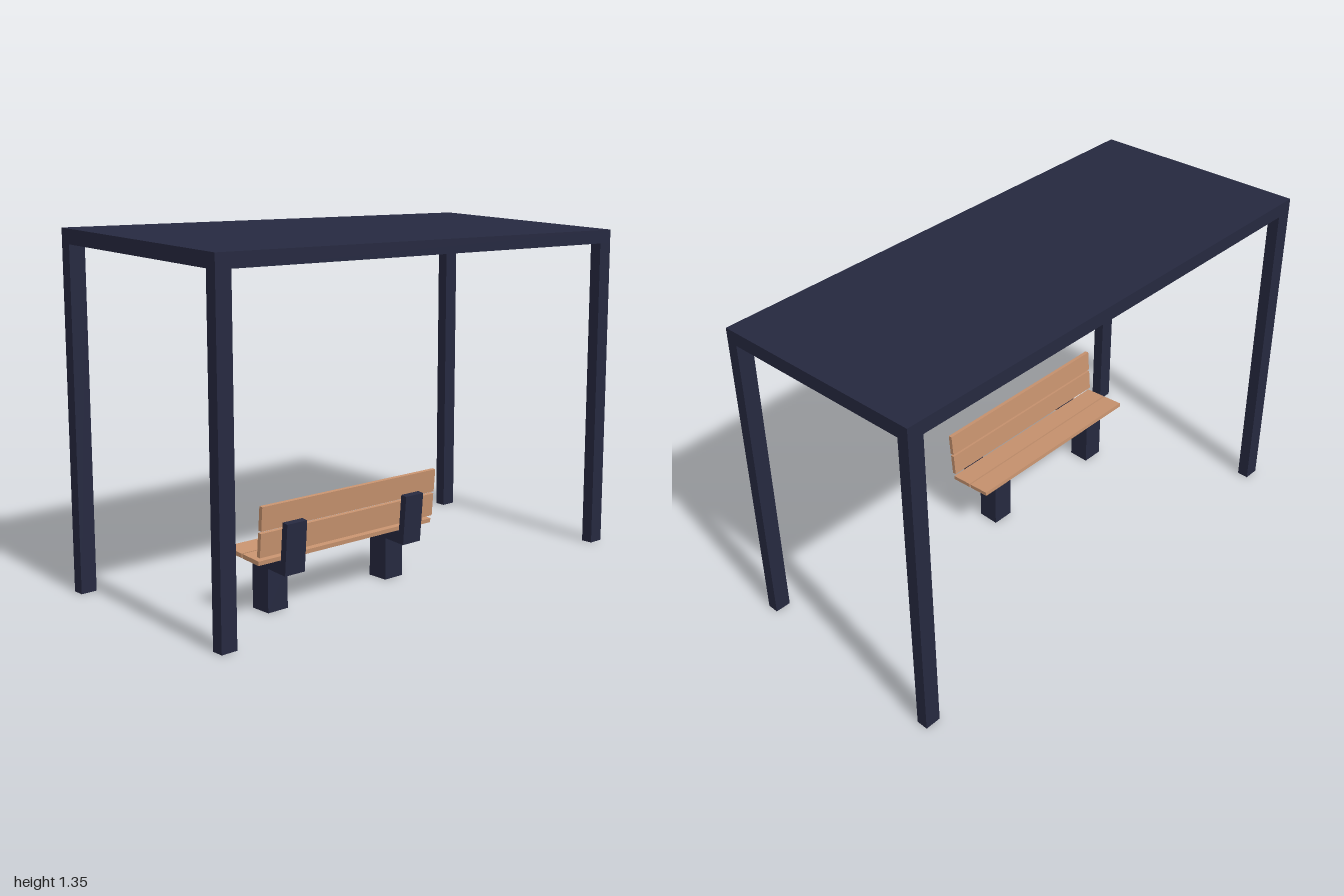
import * as THREE from 'three';

const metal = new THREE.MeshStandardMaterial({ color: 0x262940 });
const wood = new THREE.MeshStandardMaterial({ color: 0xc8936f });

// Side profile given as [z, y] points, extruded along x from x0 to x1
function profile(name, points, x0, x1, material) {
  const shape = new THREE.Shape(points.map(([z, y]) => new THREE.Vector2(z, y)));
  const geo = new THREE.ExtrudeGeometry(shape, { depth: x1 - x0, bevelEnabled: false });
  geo.rotateY(-Math.PI / 2);
  geo.translate(x1, 0, 0);
  const mesh = new THREE.Mesh(geo, material);
  mesh.name = name;
  return mesh;
}

// Plank with a centre in the z-y plane, tilted about x
function plank(name, z, y, sizeY, sizeZ, tilt) {
  const mesh = new THREE.Mesh(new THREE.BoxGeometry(0.845, sizeY, sizeZ), wood);
  mesh.name = name;
  mesh.position.set(-0.297, y, z);
  mesh.rotation.x = tilt;
  return mesh;
}

export function createModel() {
  const model = new THREE.Group();
  model.name = 'benchShelter';

  // Sloping roof slab
  const underside = (z) => 1.27 - z * 0.046;
  model.add(profile('roof', [
    [0.45, underside(0.45)], [0.45, 1.303], [-0.45, 1.346], [-0.45, underside(-0.45)],
  ], -1, 1, metal));

  // Four corner posts cut to the slope of the roof
  for (const sx of [-1, 1]) {
    for (const sz of [-1, 1]) {
      const a = sz * 0.45, b = sz * 0.403;
      const x0 = sx < 0 ? -1 : 0.936;
      model.add(profile('post', [
        [a, 0], [b, 0], [b, underside(b)], [a, underside(a)],
      ], x0, x0 + 0.064, metal));
    }
  }

  // Bench with its back towards the front edge
  const bench = new THREE.Group();
  bench.name = 'bench';
  for (const x of [-0.583, -0.007]) {
    // Leg, seat arm and back upright in one bracket
    bench.add(profile('benchSupport', [
      [0.144, 0], [0.231, 0], [0.231, 0.164], [0.326, 0.157],
      [0.341, 0.346], [0.315, 0.349], [0.303, 0.206], [0.144, 0.218],
    ], x - 0.045, x + 0.045, metal));
  }
  const tilt = 0.085;
  for (const [z, y] of [[0.25, 0.219], [0.154, 0.227]]) {
    bench.add(plank('seatPlank', z, y, 0.016, 0.09, tilt));
  }
  for (const [z, y] of [[0.298, 0.281], [0.307, 0.377]]) {
    bench.add(plank('backPlank', z, y, 0.088, 0.016, tilt));
  }
  model.add(bench);

  return model;
}
